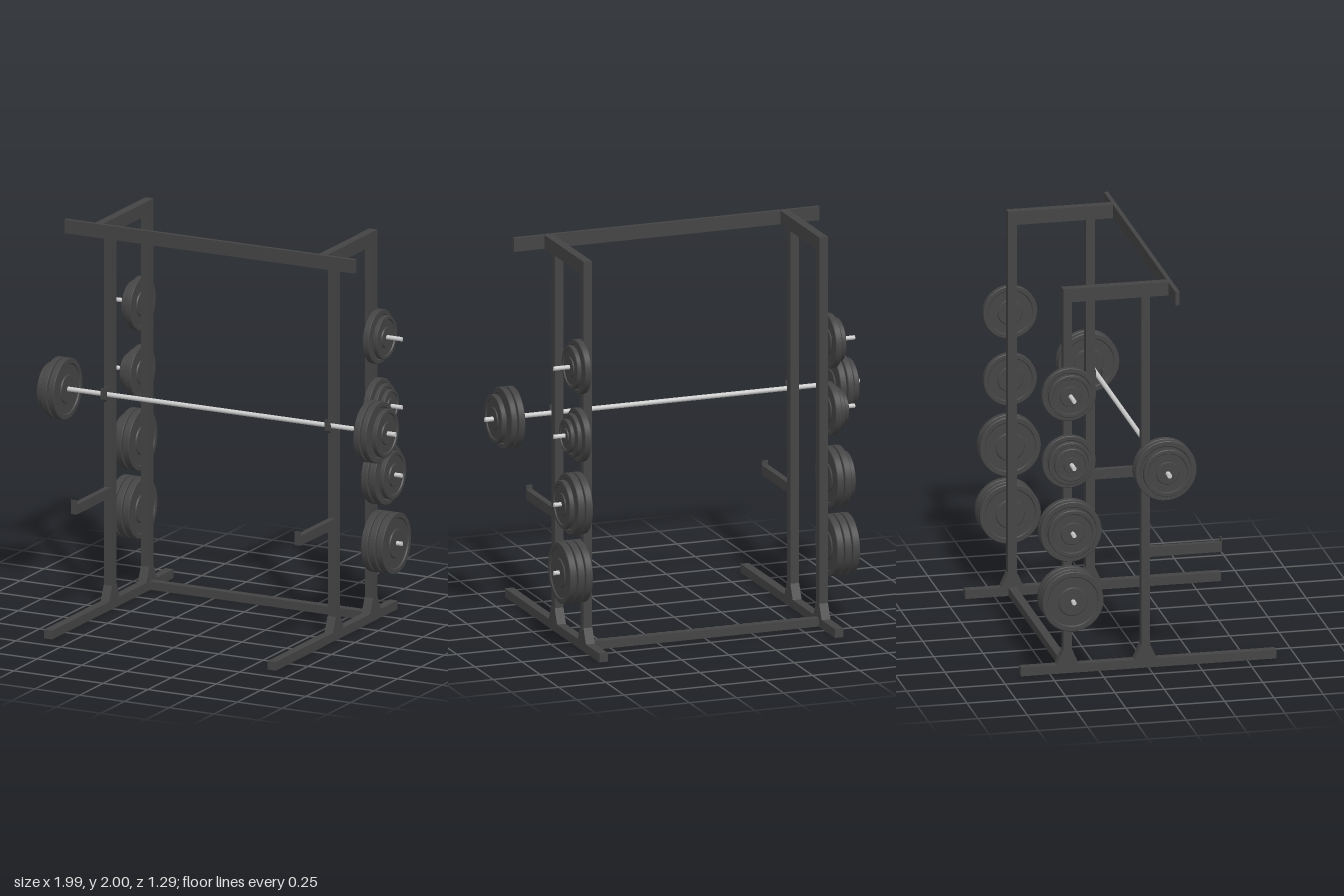
import * as THREE from 'three';

const dark = new THREE.MeshStandardMaterial({ color: 0x444444 });
const steel = new THREE.MeshStandardMaterial({ color: 0xcccccc });

const POST_X = 0.625, FRONT_Z = -0.015, BACK_Z = -0.41, TUBE = 0.045;
const BAR_Y = 1.105, BAR_Z = 0.03;

function add(parent, name, geometry, material = dark) {
  const mesh = new THREE.Mesh(geometry, material);
  mesh.name = name;
  parent.add(mesh);
  return mesh;
}

// Box given by its minimum and maximum on each axis
function box(parent, name, [x0, x1], [y0, y1], [z0, z1]) {
  const mesh = add(parent, name, new THREE.BoxGeometry(x1 - x0, y1 - y0, z1 - z0));
  mesh.position.set((x0 + x1) / 2, (y0 + y1) / 2, (z0 + z1) / 2);
  return mesh;
}

// Round rod along x
function rod(parent, name, x0, x1, y, z, r) {
  const geometry = new THREE.CylinderGeometry(r, r, x1 - x0, 20);
  geometry.rotateZ(Math.PI / 2);
  const mesh = add(parent, name, geometry, steel);
  mesh.position.set((x0 + x1) / 2, y, z);
}

// Weight plate along x: raised rim, recessed web and raised hub on both faces
function plate(parent, x0, x1, y, z, r) {
  const h = (x1 - x0) / 2, web = h - 0.006, bevel = 0.003;
  const half = [[0.008, h], [r * 0.45, h], [r * 0.48, web], [r * 0.81, web], [r * 0.84, h], [r - bevel, h], [r, h - bevel]];
  const outline = [...half.map(([a, b]) => [a, -b]), ...half.slice().reverse(), half[0].map((v, i) => (i ? -v : v))];
  // Each straight run is its own lathe strip, so every edge stays sharp
  const group = new THREE.Group();
  group.name = 'weightPlate';
  for (let i = 0; i < outline.length - 1; i++) {
    const run = [outline[i], outline[i + 1]].map(([a, b]) => new THREE.Vector2(a, b));
    add(group, 'plateSurface', new THREE.LatheGeometry(run, 48));
  }
  group.rotation.z = -Math.PI / 2;
  group.position.set((x0 + x1) / 2, y, z);
  parent.add(group);
}

// Side profile of [z, y] points, extruded across x and centred on POST_X
function sideProfile(parent, name, points, width) {
  const shape = new THREE.Shape(points.map(([z, y]) => new THREE.Vector2(-z, y)));
  const geometry = new THREE.ExtrudeGeometry(shape, { depth: width, bevelEnabled: false });
  geometry.translate(0, 0, -width / 2);
  geometry.rotateY(Math.PI / 2);
  add(parent, name, geometry).position.x = POST_X;
}

// Stored plates on each peg: [start x, end x, radius]
const storage = [
  { y: 0.41, plates: [[0.648, 0.684, 0.155], [0.69, 0.726, 0.155], [0.732, 0.769, 0.155]] },
  { y: 0.76, plates: [[0.648, 0.684, 0.155], [0.69, 0.726, 0.155], [0.732, 0.759, 0.122]] },
  { y: 1.11, plates: [[0.648, 0.682, 0.135], [0.688, 0.711, 0.11], [0.716, 0.738, 0.085]] },
  { y: 1.46, plates: [[0.648, 0.682, 0.137], [0.69, 0.714, 0.11]] },
];
const barbellPlates = [[0.836, 0.87, 0.155], [0.877, 0.909, 0.155], [0.922, 0.949, 0.122]];

function sideFrame() {
  const side = new THREE.Group();
  const xs = [POST_X - TUBE / 2, POST_X + TUBE / 2];
  box(side, 'baseRail', xs, [0, TUBE], [-0.647, 0.647]);
  box(side, 'topRail', xs, [1.93, 2], [BACK_Z - TUBE / 2, 0.1]);

  for (const z of [FRONT_Z, BACK_Z]) {
    box(side, 'upright', xs, [TUBE, 1.93], [z - TUBE / 2, z + TUBE / 2]);
    sideProfile(side, 'footGusset', [
      [z - 0.057, TUBE], [z + 0.057, TUBE], [z + 0.023, 0.12], [z - 0.023, 0.12],
    ], TUBE + 0.002);
  }

  // Safety arm with a thin lip at its tip
  box(side, 'safetyArm', [POST_X - 0.016, POST_X + 0.016], [0.573, 0.623], [0, 0.368]);
  box(side, 'safetyArmLip', [POST_X - 0.016, POST_X + 0.016], [0.573, 0.645], [0.368, 0.374]);

  // Cradle that carries the bar
  const z = BAR_Z;
  sideProfile(side, 'barHook', [
    [0.005, 1.14], [0.005, 1.085], [z - 0.014, 1.07], [z + 0.016, 1.07], [z + 0.03, 1.085], [z + 0.03, 1.14],
    [z + 0.02, 1.14], [z + 0.014, 1.098], [z + 0.007, 1.092], [z - 0.007, 1.092], [z - 0.014, 1.098], [z - 0.014, 1.14],
  ], 0.028);

  // Storage pegs with their plates
  for (const { y, plates } of storage) {
    rod(side, 'storagePeg', 0.64, 0.798, y + 0.002, BACK_Z, 0.011);
    for (const [x0, x1, r] of plates) plate(side, x0, x1, y, BACK_Z, r);
  }

  for (const [x0, x1, r] of barbellPlates) plate(side, x0, x1, BAR_Y, BAR_Z, r);
  return side;
}

export function createModel() {
  const model = new THREE.Group();
  model.name = 'squatRack';

  // The two sides are the same; every part is symmetric about its own axis
  const left = sideFrame();
  left.name = 'leftSide';
  const right = sideFrame();
  right.name = 'rightSide';
  for (const part of right.children) part.position.x *= -1;
  model.add(left, right);

  box(model, 'rearCrossbar', [-0.603, 0.603], [0.003, 0.045], [BACK_Z - 0.021, BACK_Z + 0.021]);
  box(model, 'topCrossPlate', [-0.81, 0.81], [1.93, 2], [0.1, 0.121]);
  rod(model, 'barbellBar', -0.993, 0.993, BAR_Y, BAR_Z, 0.012);
  return model;
}
